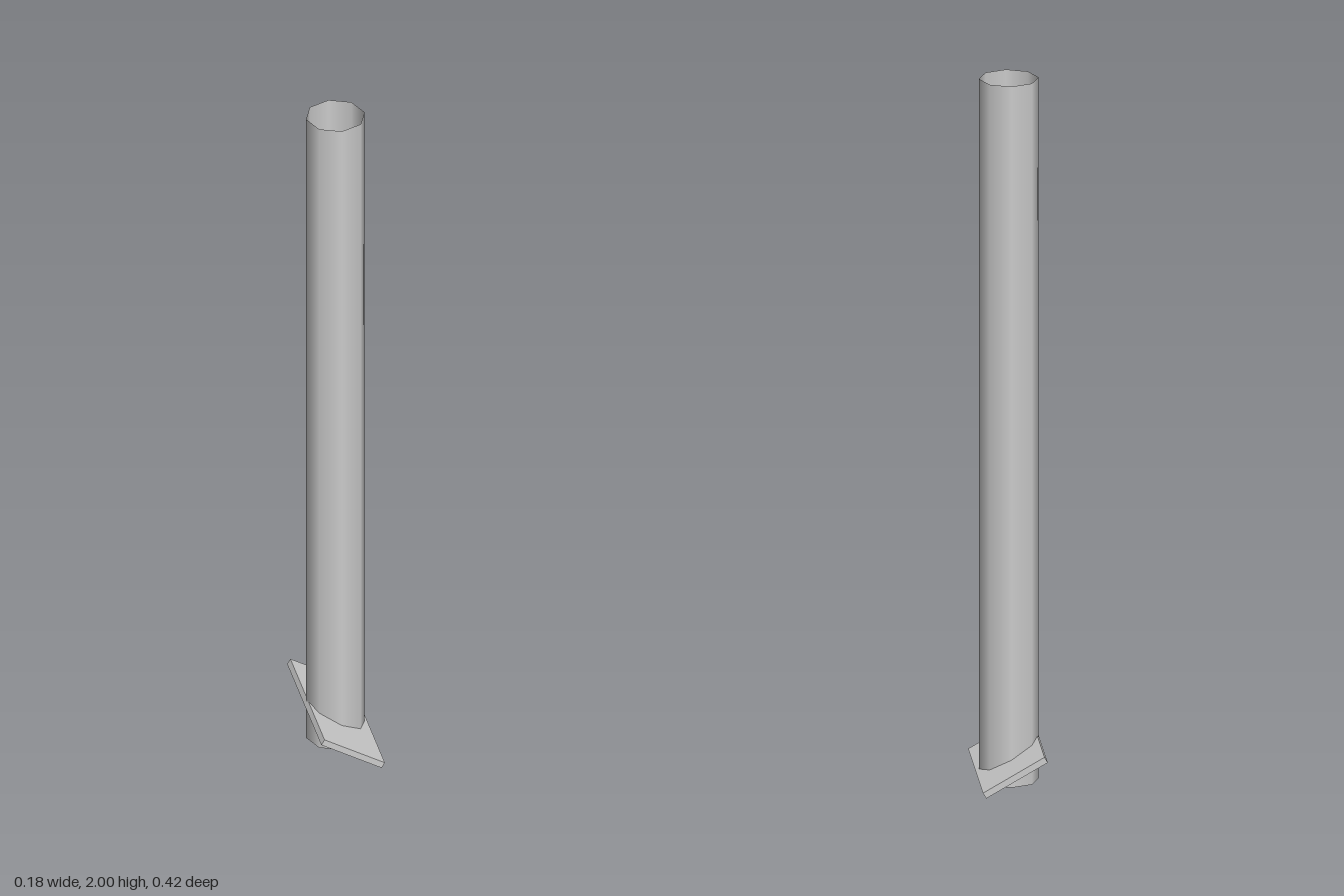
import * as THREE from 'three';

export function createModel() {
  const model = new THREE.Group();
  const material = new THREE.MeshStandardMaterial({ color: 0xcccccc, side: THREE.DoubleSide });

  // Open eight-sided pipe, smooth shaded
  const pipe = new THREE.Mesh(new THREE.CylinderGeometry(0.082, 0.082, 2, 8, 1, true), material);
  pipe.name = 'pipe';
  pipe.position.set(-0.001, 1, 0);
  model.add(pipe);

  // Thin slanted plate through the foot of the pipe, lower on the +x side
  const plate = new THREE.Mesh(new THREE.BoxGeometry(0.195, 0.018, 0.424), material);
  plate.name = 'slantedPlate';
  plate.position.set(0.001, 0.067, 0);
  plate.rotation.z = -Math.PI / 6;
  model.add(plate);

  return model;
}
